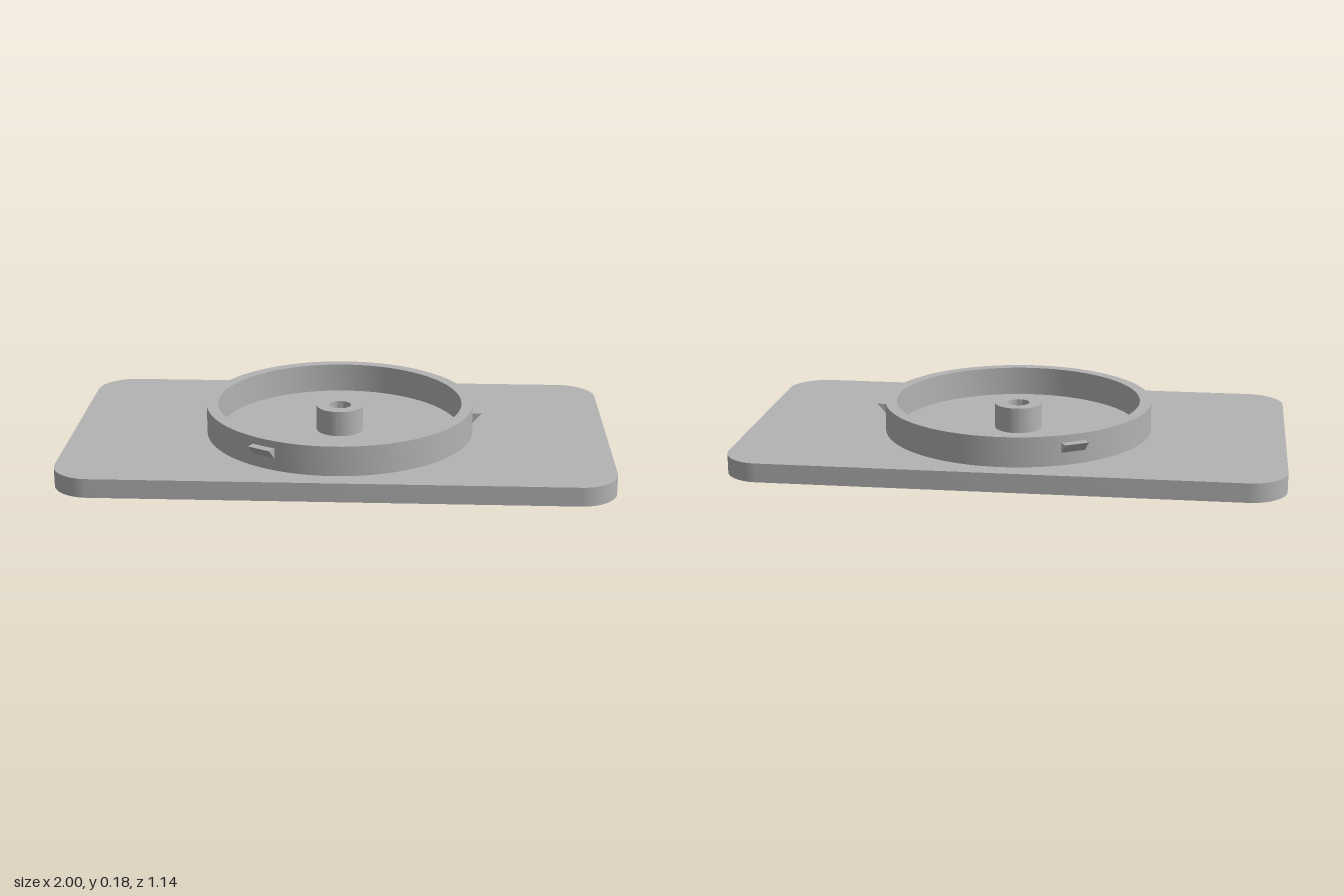
import * as THREE from 'three';
import { toCreasedNormals } from 'three/addons/utils/BufferGeometryUtils.js';

const WIDTH = 2, DEPTH = 1.14, CORNER = 0.14, PLATE = 0.07;
const RING_OUT = 0.5, RING_IN = 0.457, RING_TOP = 0.18;
const BOSS = 0.088, BOSS_TOP = 0.165, BORE = 0.042;

function disc(radius) {
  return new THREE.Shape().absarc(0, 0, radius, 0, Math.PI * 2, false);
}

function circleHole(radius) {
  return new THREE.Path().absarc(0, 0, radius, 0, Math.PI * 2, true);
}

// Extrude a plan outline upwards from y0 to y1
function slab(shape, y0, y1) {
  const g = new THREE.ExtrudeGeometry(shape, { depth: y1 - y0, bevelEnabled: false, curveSegments: 48 });
  g.rotateX(-Math.PI / 2).translate(0, y0, 0);
  return toCreasedNormals(g, 0.6);
}

export function createModel() {
  const group = new THREE.Group();
  const grey = new THREE.MeshStandardMaterial({ color: 0xb3b3b3 });
  grey.name = 'grey plastic';

  const add = (name, geometry) => {
    const mesh = new THREE.Mesh(geometry, grey);
    mesh.name = name;
    group.add(mesh);
    return mesh;
  };

  // Rounded base plate with a central through hole
  const x = WIDTH / 2 - CORNER, z = DEPTH / 2 - CORNER;
  const plate = new THREE.Shape();
  [[x, z], [-x, z], [-x, -z], [x, -z]].forEach(([cx, cz], i) =>
    plate.absarc(cx, cz, CORNER, i * Math.PI / 2, (i + 1) * Math.PI / 2, false));
  plate.closePath();
  plate.holes.push(circleHole(BORE));
  add('basePlate', slab(plate, 0, PLATE));

  // Thin-walled locating ring
  const ring = disc(RING_OUT);
  ring.holes.push(circleHole(RING_IN));
  add('ring', slab(ring, PLATE, RING_TOP));

  // Hollow central boss
  const boss = disc(BOSS);
  boss.holes.push(circleHole(BORE));
  add('centreBoss', slab(boss, PLATE, BOSS_TOP));

  // Three wedge-shaped snap clips around the ring
  const wedge = new THREE.Shape([
    new THREE.Vector2(0.49, 0.117),
    new THREE.Vector2(0.5, 0.117),
    new THREE.Vector2(0.532, 0.153),
    new THREE.Vector2(0.49, 0.153),
  ]);
  const clip = new THREE.ExtrudeGeometry(wedge, { depth: 0.09, bevelEnabled: false });
  clip.translate(0, 0, -0.045);
  for (let i = 0; i < 3; i++) {
    add('snapClip' + (i + 1), clip).rotation.y = i * Math.PI * 2 / 3;
  }

  return group;
}
